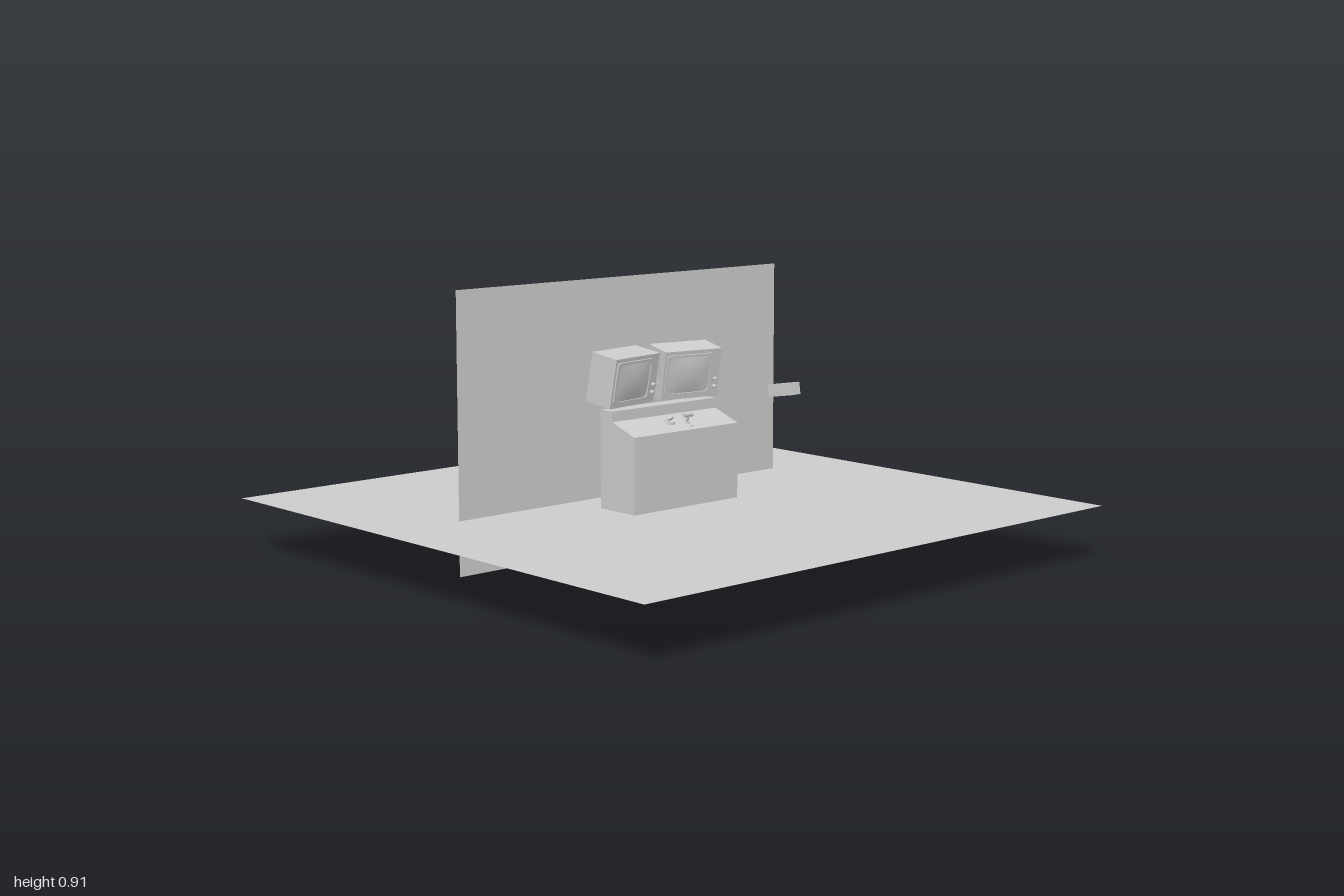
import * as THREE from 'three';

const grey = new THREE.MeshStandardMaterial({ color: 0xcccccc });
const greyDouble = new THREE.MeshStandardMaterial({ color: 0xcccccc, side: THREE.DoubleSide });

function add(parent, name, geometry, x = 0, y = 0, z = 0, material = grey) {
  const mesh = new THREE.Mesh(geometry, material);
  mesh.name = name;
  mesh.position.set(x, y, z);
  parent.add(mesh);
  return mesh;
}

const box = (w, h, d) => new THREE.BoxGeometry(w, h, d);
const cyl = (r1, r2, h, n = 16) => new THREE.CylinderGeometry(r1, r2, h, n);

// Rounded rectangle outline, usable as a shape or a hole
function roundedRect(target, w, h, r) {
  const x = w / 2, y = h / 2;
  target.moveTo(-x + r, -y);
  target.lineTo(x - r, -y);
  target.quadraticCurveTo(x, -y, x, -y + r);
  target.lineTo(x, y - r);
  target.quadraticCurveTo(x, y, x - r, y);
  target.lineTo(-x + r, y);
  target.quadraticCurveTo(-x, y, -x, y - r);
  target.lineTo(-x, -y + r);
  target.quadraticCurveTo(-x, -y, -x + r, -y);
  return target;
}

// Bulging picture tube
function screenGeometry(w, h, bulge) {
  const geometry = new THREE.PlaneGeometry(w, h, 14, 12);
  const p = geometry.attributes.position;
  for (let i = 0; i < p.count; i++) {
    const u = (2 * p.getX(i)) / w, v = (2 * p.getY(i)) / h;
    p.setZ(i, bulge * (1 - u * u) * (1 - v * v));
  }
  geometry.computeVertexNormals();
  return geometry;
}

// Monitor with its origin at the centre of the front face
function createMonitor(name, x, z, yaw) {
  const monitor = new THREE.Group();
  monitor.name = name;
  const w = 0.222, h = 0.165, d = 0.102, screenX = -0.013;
  add(monitor, 'casing', box(w, h, d), 0, 0, -d / 2);

  const frame = roundedRect(new THREE.Shape(), 0.18, 0.14, 0.012);
  frame.holes.push(roundedRect(new THREE.Path(), 0.162, 0.122, 0.018));
  add(monitor, 'screenFrame', new THREE.ExtrudeGeometry(frame, {
    depth: 0.005, bevelEnabled: false, curveSegments: 6,
  }), screenX, 0, 0);
  add(monitor, 'screen', screenGeometry(0.164, 0.124, 0.008), screenX, 0, 0.001);

  for (const y of [-0.022, -0.048]) {
    const knob = add(monitor, 'knob', cyl(0.006, 0.007, 0.012), 0.094, y, 0.006);
    knob.rotation.x = Math.PI / 2;
  }
  monitor.position.set(x, 0.589, z);
  monitor.rotation.set(0.18, yaw, 0, 'YXZ');
  return monitor;
}

export function createModel() {
  const model = new THREE.Group();
  model.name = 'controlStation';

  // Floor and rear wall sheets
  add(model, 'floor', new THREE.PlaneGeometry(2, 2), 0, 0.18, 0, greyDouble).rotation.x = -Math.PI / 2;
  add(model, 'wall', new THREE.PlaneGeometry(1.395, 0.91), -0.002, 0.455, -0.21, greyDouble);

  // Console: side profile swept across the width
  const profile = new THREE.Shape([
    [-0.093, 0.158], [0.071, 0.158], [0.071, 0.503],
    [0.013, 0.503], [0.013, 0.469], [-0.093, 0.431],
  ].map(([x, y]) => new THREE.Vector2(x, y)));
  const consoleWidth = 0.456;
  const consoleGeometry = new THREE.ExtrudeGeometry(profile, { depth: consoleWidth, bevelEnabled: false });
  consoleGeometry.translate(0, 0, -consoleWidth / 2);
  consoleGeometry.rotateY(Math.PI / 2);
  add(model, 'console', consoleGeometry, -0.003, 0, 0);

  // Controls standing on the sloping panel
  const controls = new THREE.Group();
  controls.name = 'controls';
  controls.position.set(0, 0.449, 0.043);
  controls.rotation.x = 0.345;
  model.add(controls);
  add(controls, 'dial', cyl(0.016, 0.019, 0.008, 20), -0.027, 0.004, -0.008);
  add(controls, 'dialGrip', box(0.032, 0.008, 0.008), -0.024, 0.012, -0.012).rotation.y = 0.4;
  add(controls, 'leverBase', cyl(0.01, 0.012, 0.004), 0.037, 0.002, 0.005);
  add(controls, 'leverStem', cyl(0.005, 0.005, 0.024, 12), 0.037, 0.013, 0.005);
  add(controls, 'leverHandle', cyl(0.007, 0.007, 0.036, 12), 0.037, 0.026, 0.003).rotation.z = Math.PI / 2;
  add(controls, 'button', box(0.012, 0.003, 0.004), 0.037, 0.0015, 0.032);

  // Monitors toed in towards the operator, joined by a bracket
  model.add(createMonitor('rightMonitor', -0.115, -0.033, 0.165));
  model.add(createMonitor('leftMonitor', 0.128, -0.026, -0.165));
  add(model, 'monitorBracket', box(0.07, 0.04, 0.02), 0.006, 0.608, -0.068);

  // Small observing camera body hanging in front
  add(model, 'observer', box(0.042, 0.038, 0.098), -0.003, 0.611, 0.531).rotation.x = -0.165;

  return model;
}
